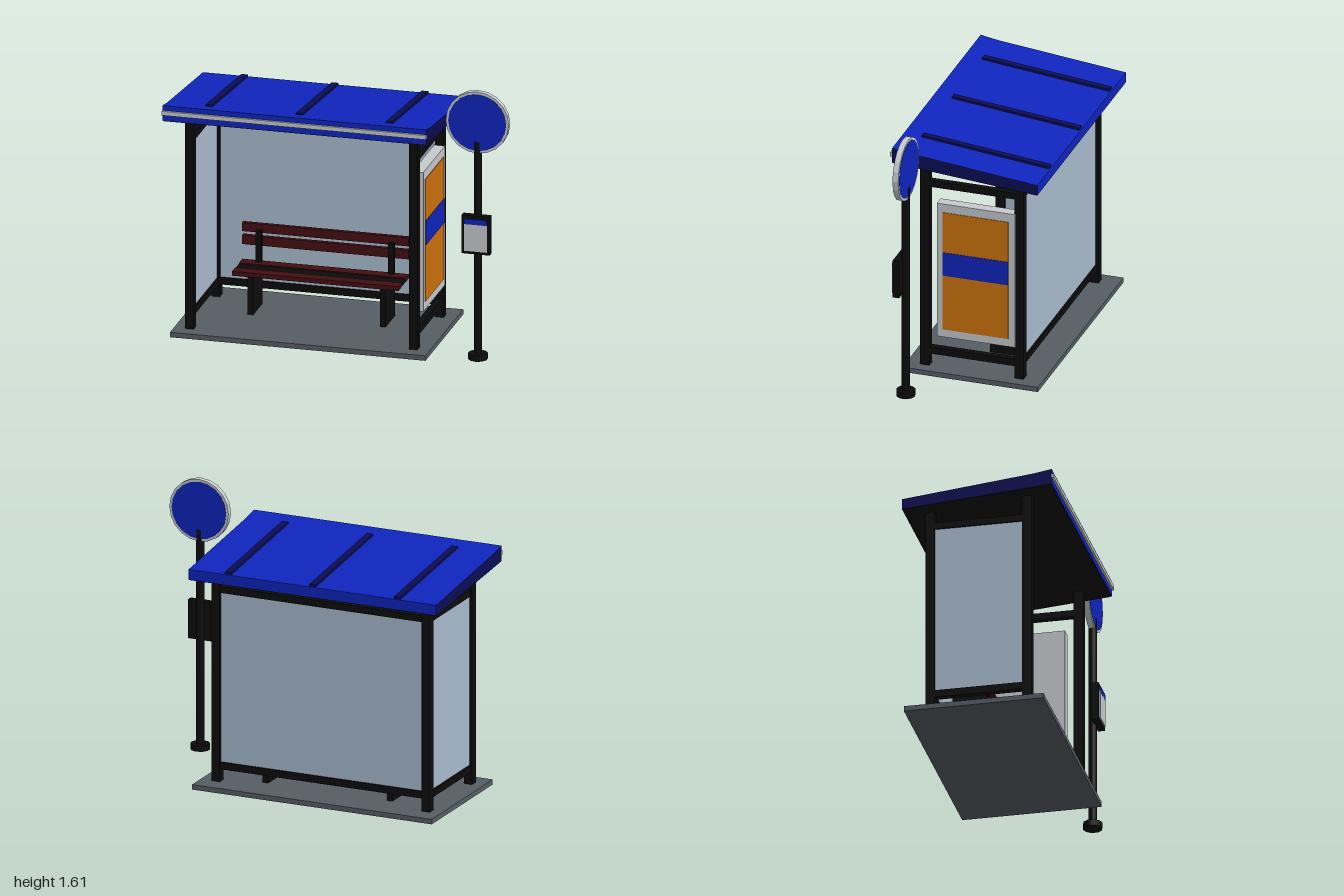
import * as THREE from 'three';

const mat = (name, color) => new THREE.MeshStandardMaterial({ name, color });

export function createModel() {
  const black = mat('black metal', 0x0c0c0d);
  const blue = mat('blue', 0x0f25be);
  const navy = mat('navy', 0x0b0d54);
  const glass = mat('pale glass', 0xaabccf);
  const grey = mat('light grey', 0xc6cbce);
  const stone = mat('paving grey', 0x565e65);
  const wood = mat('dark red wood', 0x430e11);
  const orange = mat('orange', 0xcf730e);

  const model = new THREE.Group();
  model.name = 'busShelter';
  const add = (name, geometry, material, parent = model) => {
    const mesh = new THREE.Mesh(geometry, material);
    mesh.name = name;
    parent.add(mesh);
    return mesh;
  };
  // Box given by its extents on each axis
  const box = (name, material, [x0, x1], [y0, y1], [z0, z1], parent) => {
    const mesh = add(name, new THREE.BoxGeometry(x1 - x0, y1 - y0, z1 - z0), material, parent);
    mesh.position.set((x0 + x1) / 2, (y0 + y1) / 2, (z0 + z1) / 2);
    return mesh;
  };
  const group = (name) => {
    const g = new THREE.Group();
    g.name = name;
    model.add(g);
    return g;
  };
  // Side profile of [z, y] points, extruded along x
  const profile = (name, material, points, x0, x1, parent) => {
    const shape = new THREE.Shape(points.map(([z, y]) => new THREE.Vector2(-z, y)));
    const geometry = new THREE.ExtrudeGeometry(shape, { depth: x1 - x0, bevelEnabled: false });
    geometry.rotateY(Math.PI / 2).translate(x0, 0, 0);
    return add(name, geometry, material, parent);
  };

  box('basePlate', stone, [-0.97, 0.53], [0, 0.03], [-0.435, 0.375]);

  // Frame: four posts, rails at the back and both sides
  const frame = group('frame');
  const postX = [-0.88, 0.435];
  for (const x of postX) {
    box('frontPost', black, [x - 0.025, x + 0.025], [0.03, 1.34], [0.238, 0.293], frame);
    box('backPost', black, [x - 0.025, x + 0.025], [0.03, 1.275], [-0.325, -0.272], frame);
  }
  for (const y of [[0.103, 0.145], [1.153, 1.192]]) {
    box('backRail', black, [-0.86, 0.415], y, [-0.317, -0.279], frame);
    for (const x of postX) box('sideRail', black, [x - 0.02, x + 0.02], y, [-0.28, 0.245], frame);
  }

  // Glass at the back and on the closed side
  box('backGlass', glass, [-0.857, 0.412], [0.14, 1.157], [-0.307, -0.289]);
  box('sideGlass', glass, [-0.889, -0.871], [0.14, 1.157], [-0.274, 0.24]);

  // Sloping roof with dark ends, dark ceiling, ribs and front trim
  const roof = group('roof');
  profile('roofSlab', [navy, blue],
    [[0.43, 1.41], [0.33, 1.393], [-0.44, 1.31], [-0.44, 1.25], [0.43, 1.32]], -1, 0.55, roof);
  profile('ceiling', black,
    [[0.428, 1.321], [-0.438, 1.251], [-0.438, 1.246], [0.428, 1.316]], -0.998, 0.548, roof);
  for (const x of [-0.753, -0.222, 0.307]) {
    profile('roofRib', navy,
      [[0.33, 1.404], [-0.432, 1.324], [-0.432, 1.3], [0.33, 1.38]], x - 0.02, x + 0.02, roof);
  }
  box('roofTrim', grey, [-1, 0.55], [1.355, 1.38], [0.428, 0.443], roof);

  // Poster case on the open side
  const poster = group('posterCase');
  box('posterFrame', grey, [0.403, 0.467], [0.226, 1.063], [-0.277, 0.19], poster);
  box('posterSheet', orange, [0.465, 0.471], [0.275, 1.01], [-0.238, 0.155], poster);
  box('posterBand', blue, [0.469, 0.474], [0.615, 0.76], [-0.238, 0.155], poster);

  // Bench
  const bench = group('bench');
  const benchX = [-0.713, 0.265];
  for (const z of [-0.05, -0.2]) box('seatSlat', wood, benchX, [0.26, 0.286], [z - 0.035, z + 0.035], bench);
  box('seatCentre', black, benchX, [0.262, 0.28], [-0.165, -0.085], bench);
  for (const y of [[0.375, 0.43], [0.453, 0.505]]) box('backSlat', wood, benchX, y, [-0.258, -0.233], bench);
  for (const x of [-0.61, 0.168]) {
    box('benchLeg', black, [x - 0.017, x + 0.017], [0.03, 0.262], [-0.23, -0.03], bench);
    box('backSupport', black, [x - 0.017, x + 0.017], [0.25, 0.47], [-0.235, -0.205], bench);
  }

  // Stop sign pole with round sign
  const stop = group('stopSign');
  const sx = 0.807, sz = 0.26;
  const cylinder = (name, material, r, h, sides, y, parent = stop) => {
    const mesh = add(name, new THREE.CylinderGeometry(r, r, h, sides), material, parent);
    mesh.position.set(sx, y, sz);
    return mesh;
  };
  cylinder('poleFoot', black, 0.056, 0.035, 10, 0.0175);
  cylinder('pole', black, 0.024, 1.3, 12, 0.66);
  for (const [name, material, r, depth] of [['signRim', grey, 0.185, 0.034], ['signFace', blue, 0.17, 0.038]]) {
    const disc = cylinder(name, material, r, depth, 20, 1.425);
    disc.rotation.x = Math.PI / 2;
    disc.geometry = disc.geometry.toNonIndexed();
    disc.geometry.computeVertexNormals();
  }

  // Timetable board
  box('timetableBoard', black, [0.725, 0.89], [0.645, 0.875], [0.272, 0.312], stop);
  box('timetableSheet', grey, [0.74, 0.875], [0.663, 0.828], [0.31, 0.319], stop);
  box('timetableHeader', blue, [0.74, 0.875], [0.824, 0.855], [0.311, 0.32], stop);

  return model;
}
